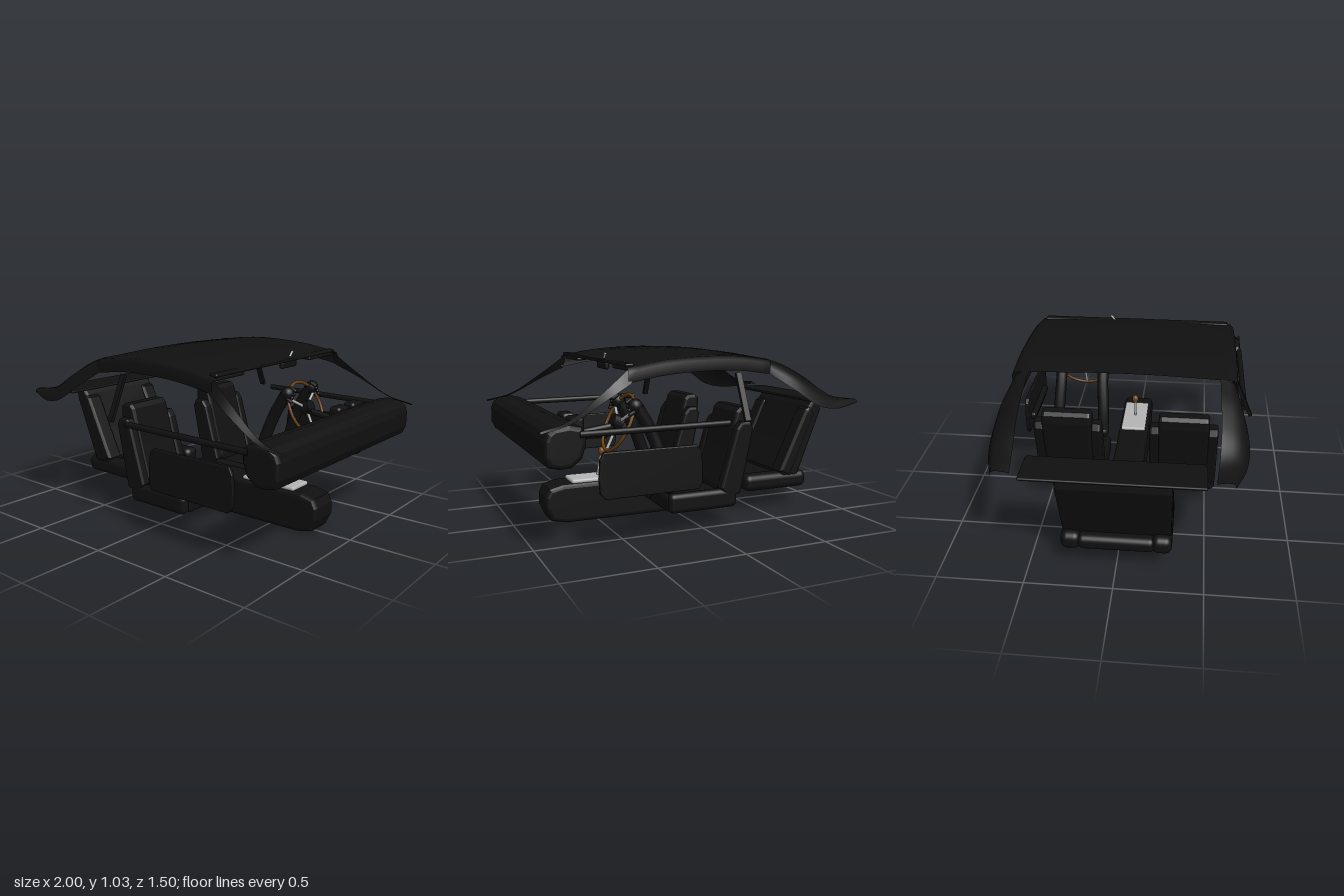
import * as THREE from 'three';
import { RoundedBoxGeometry } from 'three/addons/geometries/RoundedBoxGeometry.js';

export function createModel() {
  const root = new THREE.Group();
  const make = (name, color, side = THREE.FrontSide) => {
    const m = new THREE.MeshStandardMaterial({ color, side });
    m.name = name;
    return m;
  };
  const black = make('blackTrim', 0x101010, THREE.DoubleSide);
  const wood = make('wood', 0x6b3f12);
  const silver = make('silver', 0xb4b4b4);
  const V = (x, y, z) => new THREE.Vector3(x, y, z);

  const add = (name, geo, mat = black, parent = root) => {
    const mesh = new THREE.Mesh(geo, mat);
    mesh.name = name;
    parent.add(mesh);
    return mesh;
  };
  // Rounded box given by its extents on each axis
  const box = (name, [x0, x1], [y0, y1], [z0, z1], r = 0.02, mat = black, parent = root) => {
    const s = [x1 - x0, y1 - y0, z1 - z0];
    const m = add(name, new RoundedBoxGeometry(...s, 3, Math.min(r, Math.min(...s) * 0.49)), mat, parent);
    m.position.set((x0 + x1) / 2, (y0 + y1) / 2, (z0 + z1) / 2);
    return m;
  };
  // Side profile in x and y, extruded between two z values with soft edges
  const slab = (name, pts, z0, z1, b = 0.02, parent = root) => {
    const shape = new THREE.Shape(pts.map(p => new THREE.Vector2(...p)));
    const geo = new THREE.ExtrudeGeometry(shape, {
      depth: z1 - z0 - 2 * b, bevelSize: b, bevelThickness: b, bevelOffset: -b, bevelSegments: 3,
    });
    geo.translate(0, 0, z0 + b);
    return add(name, geo, black, parent);
  };
  // Straight rod between two points
  const rod = (name, a, b, r, mat = black, parent = root) => {
    const m = add(name, new THREE.CylinderGeometry(r, r, a.distanceTo(b), 12), mat, parent);
    m.position.copy(a).lerp(b, 0.5);
    m.quaternion.setFromUnitVectors(V(0, 1, 0), b.clone().sub(a).normalize());
    return m;
  };
  // Smooth sheet through rows of points
  const sheet = (name, rows) => {
    const n = rows[0].length, pos = [], idx = [];
    rows.forEach(r => r.forEach(p => pos.push(p.x, p.y, p.z)));
    for (let i = 0; i < rows.length - 1; i++) {
      for (let j = 0; j < n - 1; j++) {
        const a = i * n + j;
        idx.push(a, a + 1, a + n, a + 1, a + n + 1, a + n);
      }
    }
    const geo = new THREE.BufferGeometry();
    geo.setAttribute('position', new THREE.Float32BufferAttribute(pos, 3));
    geo.setIndex(idx);
    geo.computeVertexNormals();
    return add(name, geo);
  };
  const curve = pts => new THREE.CatmullRomCurve3(pts.map(p => V(...p)));

  // Roof lining: arched skin whose sides turn down
  const ridge = curve([[-0.35, 1.0, 0], [-0.15, 1.026, 0], [0.05, 1.03, 0], [0.3, 1.015, 0], [0.51, 0.98, 0]]);
  const half = [[0, 0], [0.2, 0.002], [0.4, 0.009], [0.56, 0.015], [0.62, 0.02], [0.64, 0.04], [0.635, 0.1]];
  const section = [...half.slice(1).reverse().map(([z, d]) => [-z, d]), ...half];
  sheet('roofLining', ridge.getPoints(16).map(p => section.map(([z, d]) => V(p.x, p.y - d, z))));
  box('windscreenHeader', [0.46, 0.51], [0.962, 0.982], [-0.6, 0.6], 0.01);

  for (const s of [-1, 1]) {
    // Rear pillar: sheet between an inner upper edge and an outer lower edge
    const top = curve([[-0.35, 0.99, 0.54 * s], [-0.5, 0.94, 0.545 * s], [-0.65, 0.86, 0.55 * s],
      [-0.8, 0.76, 0.545 * s], [-0.96, 0.712, 0.53 * s]]).getPoints(20);
    const low = curve([[-0.35, 0.9, 0.635 * s], [-0.5, 0.8, 0.69 * s], [-0.63, 0.715, 0.71 * s],
      [-0.78, 0.685, 0.69 * s], [-0.98, 0.705, 0.625 * s]]).getPoints(20);
    sheet('rearPillar', top.map((a, i) => [0, 0.25, 0.5, 0.75, 1].map(t => {
      const p = a.clone().lerp(low[i], t);
      p.z += s * 0.03 * Math.sin(Math.PI * t);
      p.y += 0.02 * Math.sin(Math.PI * t);
      return p;
    })));

    // Windscreen pillar, tapering towards the dashboard
    const up = curve([[0.49, 0.96, 0.61 * s], [0.65, 0.84, 0.645 * s], [0.85, 0.71, 0.69 * s], [1, 0.672, 0.715 * s]]).getPoints(14);
    const dn = curve([[0.49, 0.88, 0.64 * s], [0.65, 0.8, 0.685 * s], [0.85, 0.695, 0.715 * s], [1, 0.66, 0.725 * s]]).getPoints(14);
    sheet('windscreenPillar', up.map((p, i) => [p, dn[i]]));

    // Middle pillar, leaning outward
    const pillar = add('middlePillar', new THREE.BoxGeometry(0.034, 0.28, 0.02));
    pillar.position.set(-0.147, 0.785, 0.685 * s);
    pillar.rotation.x = -s * 0.42;

    // Door trim
    slab('doorPanel', [[0.105, 0.33], [0.125, 0.295], [0.66, 0.29], [0.69, 0.32], [0.697, 0.4], [0.69, 0.5],
      [0.67, 0.54], [0.14, 0.54], [0.115, 0.51], [0.105, 0.43]], 0.69 * s - 0.012, 0.69 * s + 0.012, 0.006);
    box('armrest', [0.17, 0.6], [0.365, 0.408], s > 0 ? [0.648, 0.69] : [-0.69, -0.648], 0.015);
    rod('doorTopRail', V(-0.05, 0.65, 0.712 * s), V(0.8, 0.645, 0.712 * s), 0.018);

    // Sun visor
    const visor = box('sunVisor', [0.34, 0.49], [0.945, 0.965], s > 0 ? [0.33, 0.6] : [-0.6, -0.33], 0.01);
    visor.rotation.z = -0.1;

    // Front seat
    const seat = new THREE.Group();
    seat.name = 'frontSeat';
    seat.position.z = 0.35 * s;
    root.add(seat);
    const back = [[-0.32, 0.63], [-0.318, 0.68], [-0.295, 0.7], [-0.24, 0.7], [-0.215, 0.675],
      [-0.16, 0.46], [-0.1, 0.25], [-0.1, 0.2], [-0.19, 0.14], [-0.23, 0.2]];
    slab('seatBack', back, -0.15, 0.15, 0.02, seat);
    box('seatCushion', [-0.2, 0.22], [0.11, 0.22], [-0.15, 0.15], 0.035, black, seat);
    for (const k of [-1, 1]) {
      const wing = [[-0.3, 0.58], [-0.28, 0.62], [-0.22, 0.62], [-0.19, 0.58], [-0.09, 0.24], [-0.13, 0.18], [-0.22, 0.2]];
      const z = k > 0 ? [0.14, 0.205] : [-0.205, -0.14];
      slab('backBolster', wing, z[0], z[1], 0.015, seat);
      box('cushionBolster', [-0.2, 0.23], [0.12, 0.235], z, 0.03, black, seat);
    }
  }

  // Rear seat and parcel shelf
  slab('rearSeatBack', [[-0.95, 0.62], [-0.945, 0.67], [-0.92, 0.685], [-0.88, 0.685], [-0.855, 0.65],
    [-0.75, 0.42], [-0.655, 0.24], [-0.66, 0.2], [-0.78, 0.2]], -0.31, 0.31);
  box('rearCushion', [-0.85, -0.42], [0.13, 0.22], [-0.22, 0.22], 0.035);
  for (const s of [-1, 1]) {
    const z = s > 0 ? [0.2, 0.315] : [-0.315, -0.2];
    box('rearCushionBolster', [-0.85, -0.4], [0.125, 0.232], z, 0.04);
    slab('rearBackBolster', [[-0.9, 0.6], [-0.86, 0.645], [-0.83, 0.63], [-0.645, 0.24], [-0.72, 0.2]], z[0], z[1], 0.02);
  }
  box('parcelShelf', [-1, -0.78], [0.694, 0.71], [-0.485, 0.485], 0.008);

  // Centre console with gear lever
  slab('centreConsole', [[-0.25, 0.12], [-0.24, 0.04], [-0.2, 0.012], [0.1, 0.002], [0.7, 0.005], [0.79, 0.025],
    [0.825, 0.1], [0.825, 0.17], [0.8, 0.22], [0.72, 0.24], [-0.18, 0.245], [-0.235, 0.21]], -0.1, 0.1, 0.025);
  box('gearPlate', [0.29, 0.66], [0.235, 0.262], [-0.085, 0.08], 0.012, silver);
  rod('gearLever', V(0.475, 0.25, 0), V(0.45, 0.39, 0), 0.008, silver);
  const knob = add('gearKnob', new THREE.SphereGeometry(0.022, 16, 12), wood);
  knob.position.set(0.445, 0.405, 0);
  knob.scale.y = 1.3;

  // Dashboard with instruments and centre trim
  slab('dashboard', [[0.762, 0.64], [0.762, 0.59], [0.785, 0.52], [0.84, 0.475], [0.9, 0.47], [0.96, 0.485],
    [0.98, 0.53], [0.98, 0.62], [0.965, 0.66], [0.93, 0.685], [0.85, 0.695], [0.785, 0.68]], -0.72, 0.72, 0.025);
  for (const z of [-0.44, -0.27]) box('gaugePod', [0.705, 0.78], [0.58, 0.7], [z - 0.06, z + 0.06], 0.02);
  box('centreTrim', [0.745, 0.77], [0.56, 0.65], [-0.14, 0.17], 0.005, silver);
  for (const z of [-0.1, 0, 0.1]) {
    const dial = rod('trimDial', V(0.735, 0.605, z), V(0.75, 0.605, z), 0.022);
    dial.scale.set(1, 1, 1);
  }

  // Steering wheel and column
  const steering = new THREE.Group();
  steering.name = 'steeringWheel';
  steering.position.set(0.463, 0.635, -0.35);
  steering.rotation.z = 0.44;
  root.add(steering);
  add('wheelRim', new THREE.TorusGeometry(0.17, 0.01, 10, 48), wood, steering).rotation.y = Math.PI / 2;
  for (const a of [Math.PI / 2, Math.PI * 7 / 6, Math.PI * 11 / 6]) {
    rod('wheelSpoke', V(0, 0, 0), V(0, -Math.sin(a) * 0.17, Math.cos(a) * 0.17), 0.009, silver, steering);
  }
  rod('wheelHub', V(-0.02, 0, 0), V(0.04, 0, 0), 0.04, black, steering);
  rod('steeringColumn', V(0.47, 0.62, -0.35), V(0.8, 0.575, -0.35), 0.02);

  // Gloved forearms holding the rim
  for (const [z, k] of [[-0.21, 1], [-0.49, -1]]) {
    const path = curve([[0.22, 0.27, z + 0.01 * k], [0.255, 0.42, z + 0.01 * k], [0.32, 0.59, z], [0.4, 0.73, z]]);
    add('forearm', new THREE.TubeGeometry(path, 16, 0.037, 12));
    add('elbow', new THREE.SphereGeometry(0.04, 14, 10)).position.copy(path.getPoint(0));
    const hand = add('hand', new THREE.SphereGeometry(0.042, 14, 10));
    hand.position.set(0.415, 0.74, z);
    for (let i = 0; i < 4; i++) {
      const finger = add('finger', new THREE.CapsuleGeometry(0.011, 0.03, 4, 8));
      finger.position.set(0.44, 0.765 - i * 0.02, z - k * (0.025 - i * 0.016));
      finger.rotation.z = 1.1;
    }
  }

  // Rear view mirror on its stalk
  box('mirror', [0.455, 0.485], [0.92, 0.965], [-0.2, -0.042], 0.014);
  rod('mirrorStalk', V(0.47, 0.96, -0.12), V(0.47, 1.012, -0.165), 0.007, silver);

  return root;
}
